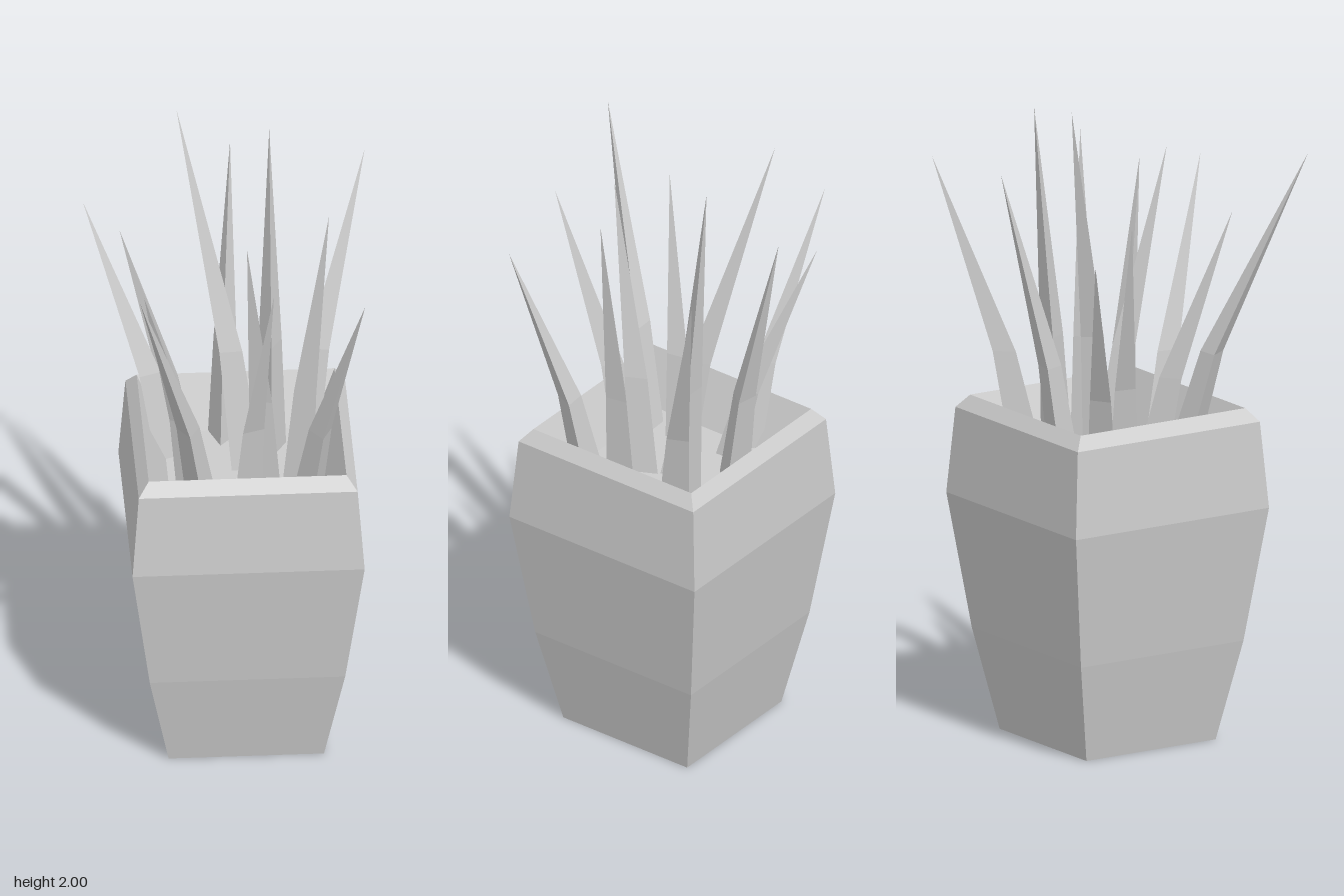
import * as THREE from 'three';

const SOIL_Y = 0.87;

// Three-sided leaf: wide at the soil, bent outward partway up, ending in a point
function makeLeaf(mat, [bx, bz, tx, ty, tz, twist]) {
  const base = new THREE.Vector3(bx, SOIL_Y - 0.02, bz);
  const tip = new THREE.Vector3(tx, ty, tz);
  const bend = base.clone().lerp(tip, 0.24);
  bend.y = base.y + (ty - base.y) * 0.35;

  const inward = Math.atan2(bx - tx, bz - tz) + twist;
  const geo = new THREE.CylinderGeometry(0, 1, 1, 3, 2, true, inward);
  const pos = geo.attributes.position;
  for (let i = 0; i < pos.count; i++) {
    const t = pos.getY(i) + 0.5;
    const centre = t < 0.25 ? base : t < 0.75 ? bend : tip;
    const r = t < 0.25 ? 0.055 : 0.08;
    pos.setXYZ(i, centre.x + pos.getX(i) * r, centre.y, centre.z + pos.getZ(i) * r);
  }
  geo.computeVertexNormals();
  const leaf = new THREE.Mesh(geo, mat);
  leaf.name = 'leaf';
  return leaf;
}

export function createModel() {
  const model = new THREE.Group();
  model.name = 'pottedPlant';
  const mat = new THREE.MeshStandardMaterial({ color: 0xcccccc, flatShading: true });
  const leafMat = new THREE.MeshStandardMaterial({
    color: 0xcccccc, flatShading: true, side: THREE.DoubleSide,
  });

  // Four-sided pot with bevelled rim and sloping inner wall
  const profile = [
    [0, 0], [0.33, 0], [0.415, 0.31], [0.493, 0.725],
    [0.465, 0.99], [0.42, 1.03], [0.315, SOIL_Y],
  ].map(([r, y]) => new THREE.Vector2(r, y));
  const pot = new THREE.Mesh(new THREE.LatheGeometry(profile, 4), mat);
  pot.name = 'pot';
  pot.position.set(0.02, 0, -0.005);
  model.add(pot);

  // Soil surface
  const soil = new THREE.Mesh(new THREE.CircleGeometry(0.315, 4), mat);
  soil.name = 'soil';
  soil.rotation.x = -Math.PI / 2;
  soil.position.set(0.02, SOIL_Y, -0.005);
  model.add(soil);

  // Leaves: base x, base z, tip x, tip y, tip z, twist
  const leaves = new THREE.Group();
  leaves.name = 'leaves';
  [
    [-0.06, -0.23, -0.15, 1.70, -0.49, 0.3],
    [-0.01, -0.19, -0.03, 1.56, -0.45, -0.3],
    [0.05, -0.01, 0.07, 2.00, -0.31, 0.4],
    [0.12, -0.17, 0.29, 1.79, -0.29, 0],
    [-0.13, -0.06, -0.37, 1.65, -0.05, 0.4],
    [-0.20, 0.04, -0.57, 1.80, 0.11, -0.4],
    [-0.10, 0.11, -0.20, 1.73, 0.32, 0],
    [0.03, 0.25, 0.02, 1.66, 0.49, 0.4],
    [0.27, 0.02, 0.56, 1.76, 0.01, -0.4],
    [0.17, -0.02, 0.23, 1.95, -0.08, 0],
    [0.11, 0.15, 0.15, 1.81, 0.23, 0.5],
    [0.03, 0.08, -0.13, 1.79, 0.15, 0.3],
  ].forEach((spec) => leaves.add(makeLeaf(leafMat, spec)));
  model.add(leaves);

  return model;
}
